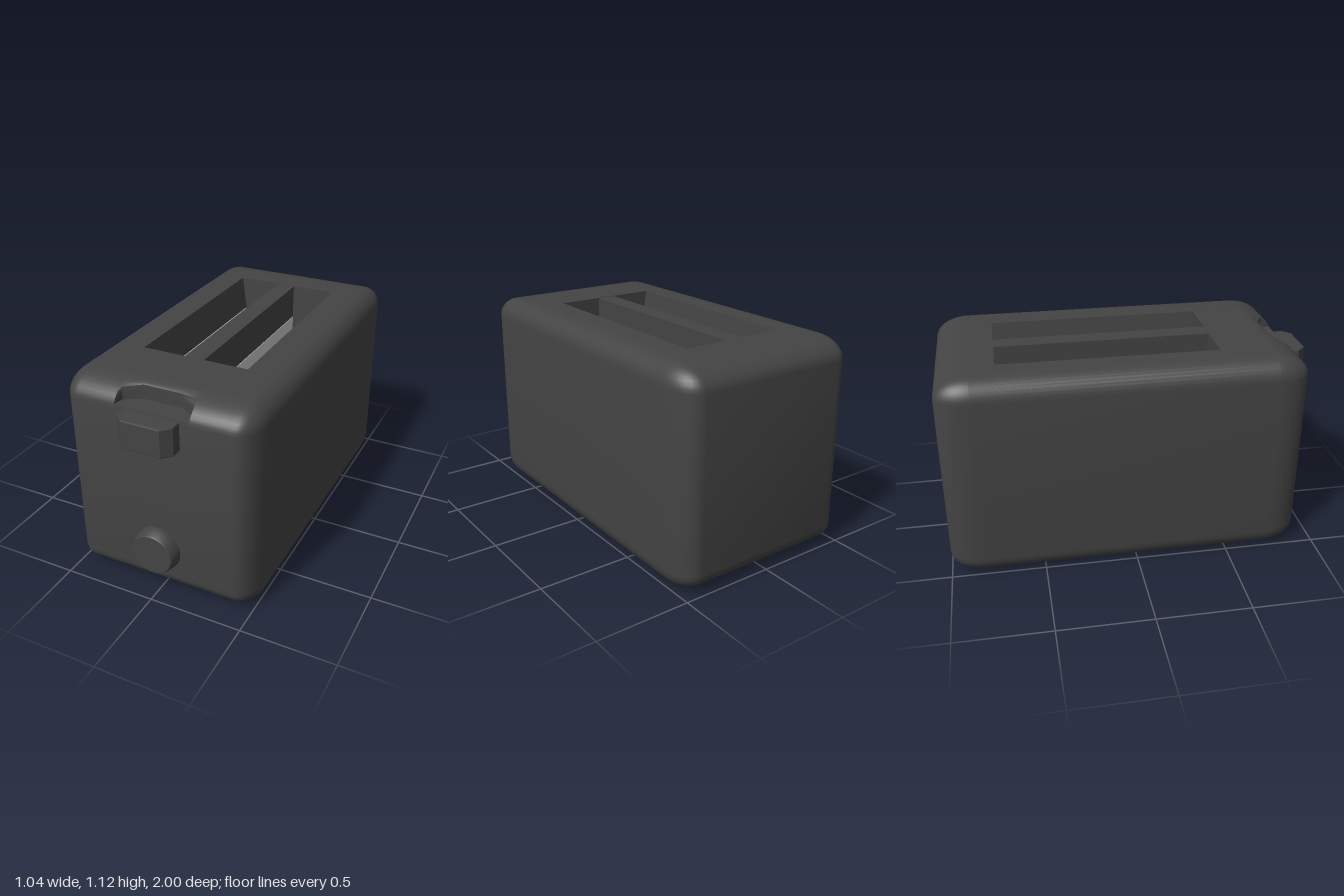
import * as THREE from 'three';
import { toCreasedNormals } from 'three/addons/utils/BufferGeometryUtils.js';

const dark = new THREE.MeshStandardMaterial({ color: 0x444444 });
const grey = new THREE.MeshStandardMaterial({ color: 0xcccccc });

// Front outline of the lever notch: [x, z]
const NOTCH = [[0.2, 1], [0.19, 0.84], [0.1, 0.79], [-0.1, 0.79], [-0.19, 0.84], [-0.2, 1]];
const SEG = 8;

// Horizontal rounded-rectangle loop, optionally cut by the lever notch
function ring(y, hx, hz, rx, rz, cx, cz, notched = false) {
  const pts = [];
  [[1, 1], [-1, 1], [-1, -1], [1, -1]].forEach(([sx, sz], q) => {
    for (let i = 0; i <= SEG; i++) {
      const a = (q + i / SEG) * Math.PI / 2;
      pts.push([cx + sx * (hx - rx) + rx * Math.cos(a), y, cz + sz * (hz - rz) + rz * Math.sin(a)]);
    }
    if (q === 0) {
      const k = Math.min(1, hx / 0.25);
      for (const [x, z] of NOTCH) pts.push([cx + x * k, y, notched ? Math.min(cz + hz, z) : cz + hz]);
    }
  });
  return pts;
}

// Skin over a list of loops with equal point counts
function loft(rings) {
  const n = rings[0].length, index = [];
  for (let r = 0; r < rings.length - 1; r++) {
    for (let j = 0; j < n; j++) {
      const a = r * n + j, b = r * n + (j + 1) % n;
      index.push(a, a + n, b, b, a + n, b + n);
    }
  }
  const g = new THREE.BufferGeometry();
  g.setAttribute('position', new THREE.Float32BufferAttribute(rings.flat(2), 3));
  g.setIndex(index);
  return toCreasedNormals(g, 0.6);
}

function add(parent, name, geometry, material, x = 0, y = 0, z = 0) {
  const m = new THREE.Mesh(geometry, material);
  m.name = name;
  m.position.set(x, y, z);
  parent.add(m);
  return m;
}

// Box given by its min and max corners
function block(parent, name, material, [x0, y0, z0], [x1, y1, z1]) {
  return add(parent, name, new THREE.BoxGeometry(x1 - x0, y1 - y0, z1 - z0), material,
    (x0 + x1) / 2, (y0 + y1) / 2, (z0 + z1) / 2);
}

function bodyGeometry() {
  const H = 1.12, r = 0.11, rz = 0.18, floorY = 1.03;
  const shell = (a, top, notched) => {
    const c = Math.cos(a), s = Math.sin(a);
    return ring(top ? H - r + r * s : r - r * s, 0.52 - r * (1 - c), 0.95 - rz * (1 - c),
      r * c, rz * c, 0, -0.05, notched);
  };
  const rings = [ring(0, 0, 0, 0, 0, 0, -0.05)];
  for (let i = SEG; i >= 0; i--) rings.push(shell(i / SEG * Math.PI / 2, false));
  // upper edge, with the notch floor as a doubled loop
  const step = Math.asin((floorY - H + r) / r);
  rings.push(shell(0, true), shell(step, true), shell(step, true, true));
  for (let i = 1; i <= SEG; i++) {
    rings.push(shell(step + (Math.PI / 2 - step) * i / SEG, true, true));
  }
  // opening, lip and inner cavity
  const inner = (y, hx, hz) => ring(y, hx, hz, 0, 0, -0.01, -0.115);
  rings.push(inner(H, 0.29, 0.575), inner(0.93, 0.265, 0.575), inner(0.93, 0.32, 0.575),
    inner(0.1, 0.32, 0.575), inner(0.1, 0, 0));
  return loft(rings);
}

export function createModel() {
  const model = new THREE.Group();
  model.name = 'toaster';

  add(model, 'body', bodyGeometry(), dark);
  block(model, 'slotDivider', dark, [-0.065, 0.92, -0.69], [0.04, 1.118, 0.46]);

  // Metal liner around each bread slot
  [[-0.285, -0.06], [0.035, 0.265]].forEach(([x0, x1], i) => {
    const liner = new THREE.Group();
    liner.name = i ? 'leftLiner' : 'rightLiner';
    const y0 = 0.1, y1 = 0.925, z0 = -0.685, z1 = 0.395, t = 0.008;
    block(liner, 'linerSide', grey, [x0, y0, z0], [x0 + t, y1, z1]);
    block(liner, 'linerSide', grey, [x1 - t, y0, z0], [x1, y1, z1]);
    block(liner, 'linerEnd', grey, [x0, y0, z1 - t], [x1, y1, z1]);
    model.add(liner);
  });

  // Lever with chamfered corners
  const w = 0.142, d = 0.09, c = 0.042;
  const plan = new THREE.Shape([[w, d - c], [w - c, d], [c - w, d], [-w, d - c],
    [-w, c - d], [c - w, -d], [w - c, -d], [w, c - d]].map(p => new THREE.Vector2(...p)));
  const lever = new THREE.ExtrudeGeometry(plan, {
    depth: 0.14, bevelThickness: 0.005, bevelSize: 0.005, bevelSegments: 2,
  });
  lever.rotateX(-Math.PI / 2);
  add(model, 'lever', lever, dark, 0, 0.875, 0.905);

  // Browning knob
  const profile = [[0.125, -0.02], [0.124, 0.01], [0.112, 0.06], [0.107, 0.067], [0, 0.067]]
    .map(p => new THREE.Vector2(...p));
  const knob = toCreasedNormals(new THREE.LatheGeometry(profile, 40), 0.5);
  knob.rotateX(Math.PI / 2);
  add(model, 'knob', knob, dark, 0, 0.26, 0.9);

  return model;
}
